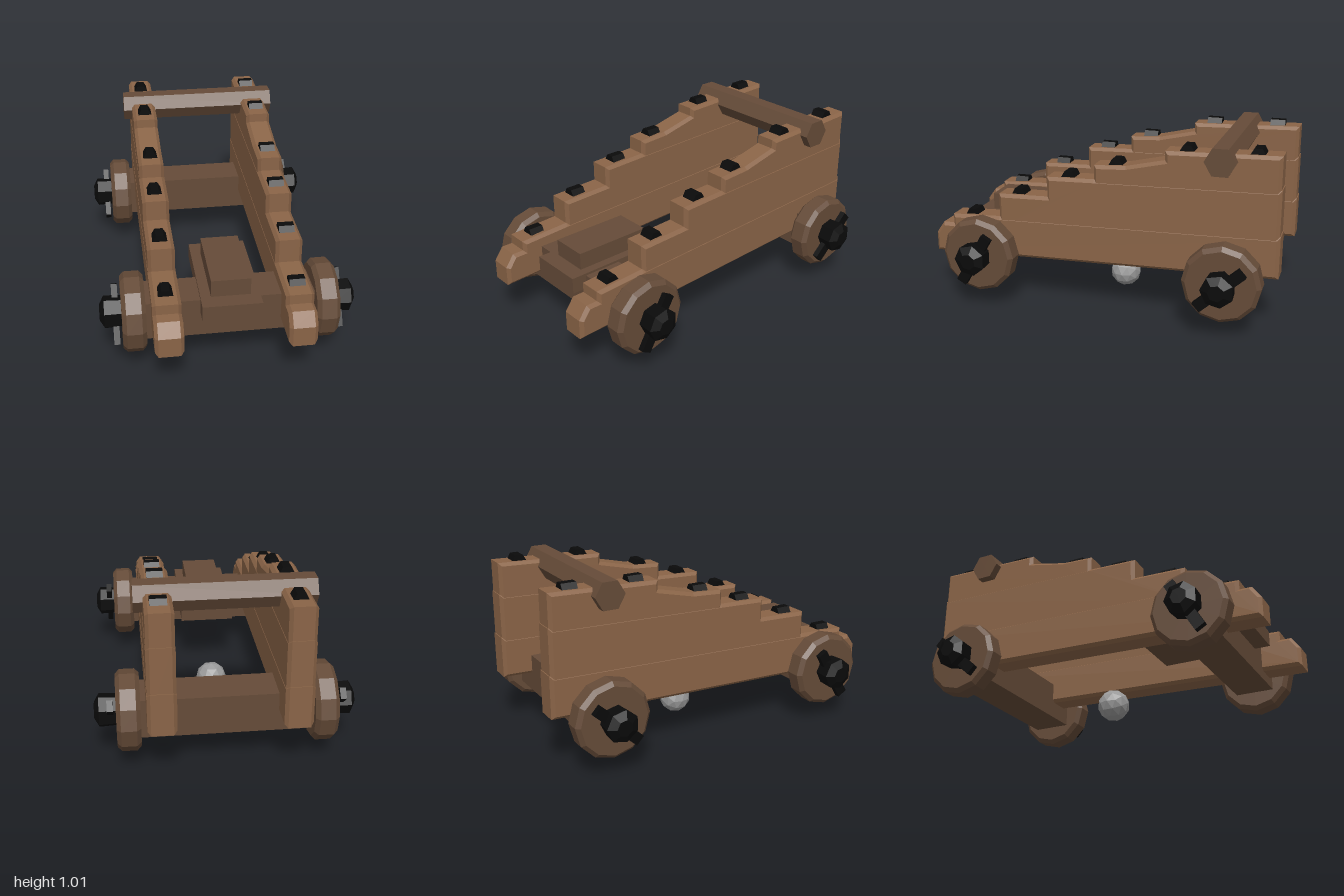
import * as THREE from 'three';

export function createModel() {
  const model = new THREE.Group();
  model.name = 'gunCarriage';

  const mat = (name, color) => {
    const m = new THREE.MeshStandardMaterial({ color, flatShading: true });
    m.name = name;
    return m;
  };
  const wood = mat('wood', 0x8a6447);
  const darkWood = mat('darkWood', 0x654b38);
  const iron = mat('blackIron', 0x0a0a0a);
  const stone = mat('grey', 0x999999);

  const add = (name, geo, material, x = 0, y = 0, z = 0, parent = model) => {
    const mesh = new THREE.Mesh(geo, material);
    mesh.name = name;
    mesh.position.set(x, y, z);
    parent.add(mesh);
    return mesh;
  };

  // Extrudes a [z, y] outline across x, centred, with a chamfer inside the outline
  const slab = (points, width, bevel) => {
    const shape = new THREE.Shape(points.map(([z, y]) => new THREE.Vector2(z, y)));
    const depth = width - 2 * bevel;
    const geo = new THREE.ExtrudeGeometry(shape, {
      depth, bevelEnabled: true, bevelThickness: bevel,
      bevelSize: bevel, bevelOffset: -bevel, bevelSegments: 1,
    });
    geo.translate(0, 0, -depth / 2);
    geo.rotateY(-Math.PI / 2);
    return geo;
  };

  // Stepped cheeks: three planks each, the upper ones sunk into the ones below
  const planks = [
    ['lowerPlank', 0.15, [[1, 0.25], [1, 0.36], [0.95, 0.43], [0.885, 0.43], [0.885, 0.485],
      [0.59, 0.5], [-1, 0.55], [-1, 0.315]]],
    ['middlePlank', 0.146, [[0.59, 0.42], [0.59, 0.635], [0.295, 0.645], [0.295, 0.76],
      [0.02, 0.77], [-0.995, 0.8], [-0.995, 0.45]]],
    ['upperPlank', 0.142, [[0.02, 0.68], [0.02, 0.85], [-0.16, 0.86], [-0.375, 0.91],
      [-0.375, 0.96], [-0.99, 0.98], [-0.99, 0.7]]],
  ];
  // Bolt positions along each cheek: [z, top of plank]
  const bolts = [[0.77, 0.49], [0.475, 0.64], [0.175, 0.765], [-0.1, 0.857], [-0.49, 0.964], [-0.86, 0.976]];
  const boltGeo = new THREE.CylinderGeometry(0.043, 0.043, 0.085, 6).rotateZ(Math.PI / 2);

  for (const side of [-1, 1]) {
    const cheek = new THREE.Group();
    cheek.name = side > 0 ? 'leftCheek' : 'rightCheek';
    cheek.position.x = side * 0.343;
    model.add(cheek);
    for (const [name, width, outline] of planks) add(name, slab(outline, width, 0.018), wood, 0, 0, 0, cheek);
    for (const [z, y] of bolts) {
      const bolt = add('bolt', boltGeo, iron, 0, y - 0.007, z, cheek);
      if (side < 0) bolt.rotation.y = Math.PI / 2;
    }
  }

  // Chamfered wheel and tapered hub, both turned about x
  const turned = (profile, sides) =>
    new THREE.LatheGeometry(profile.map(([r, h]) => new THREE.Vector2(r, h)), sides).rotateZ(-Math.PI / 2);
  const wheelGeo = turned([[0, -0.062], [0.19, -0.062], [0.213, -0.04], [0.213, 0.04], [0.19, 0.062], [0, 0.062]], 12);
  const hubGeo = turned([[0, 0], [0.085, 0], [0.09, 0.09], [0.045, 0.115], [0, 0.115]], 7);
  const pinGeo = new THREE.BoxGeometry(0.032, 0.32, 0.06);

  // Axles with wheels, hubs and linchpins
  for (const [name, z, tilt] of [['front', 0.663, -0.53], ['rear', -0.725, -0.83]]) {
    add(name + 'Axle', new THREE.BoxGeometry(0.92, 0.218, 0.22), darkWood, 0, 0.313, z);
    for (const side of [-1, 1]) {
      const assembly = new THREE.Group();
      assembly.name = name + (side > 0 ? 'LeftWheel' : 'RightWheel');
      assembly.position.set(side * 0.508, 0.31, z);
      if (side < 0) assembly.rotation.y = Math.PI;
      model.add(assembly);
      add('wheel', wheelGeo, darkWood, 0, 0, 0, assembly);
      add('hub', hubGeo, iron, 0.061, 0.005, 0, assembly);
      add('linchpin', pinGeo, iron, 0.092, -0.01, 0, assembly).rotation.x = side * tilt;
    }
  }

  // Hexagonal crossbar joining the cheeks at the rear
  add('crossbar', new THREE.CylinderGeometry(0.085, 0.085, 0.925, 6).rotateZ(Math.PI / 2),
    darkWood, 0, 0.936, -0.68);

  // Bed board and wedge block between the cheeks
  add('bedBoard', new THREE.BoxGeometry(0.315, 0.09, 0.63), darkWood, -0.003, 0.39, 0.545);
  add('wedgeBlock', new THREE.BoxGeometry(0.21, 0.097, 0.44), darkWood, 0, 0.482, 0.55);

  // Loose shot under the carriage
  add('shot', new THREE.IcosahedronGeometry(0.091, 1), stone, 0, 0.091, -0.04);

  return model;
}
